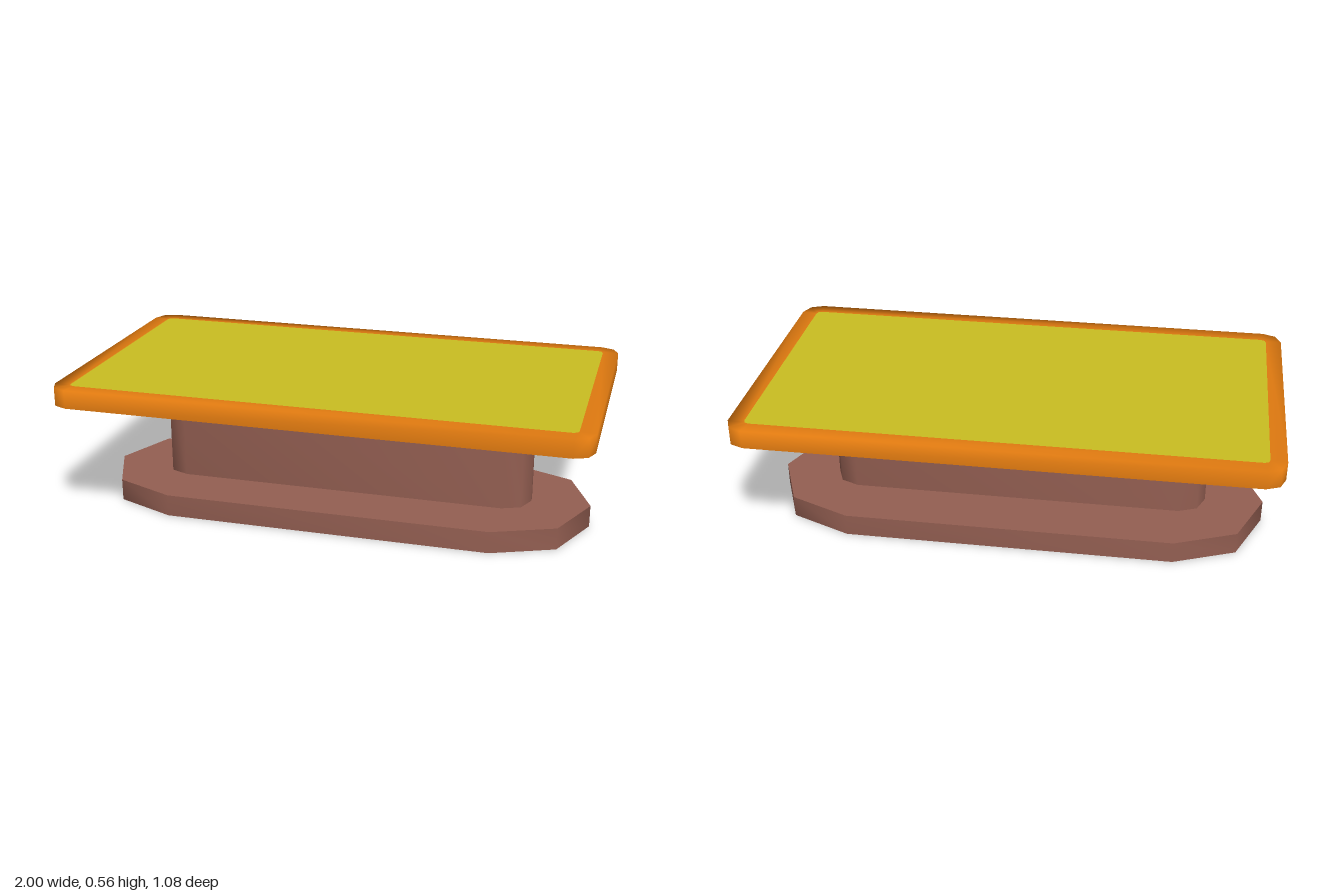
import * as THREE from 'three';
import { toCreasedNormals } from 'three/addons/utils/BufferGeometryUtils.js';

const FOOT_TOP = 0.085, TOP_LOW = 0.485, TOP_HIGH = 0.555;

// Rounded rectangle in plan, with few segments per corner
function outline(hx, hz, r, segments = 2) {
  const points = [];
  [[1, 1], [-1, 1], [-1, -1], [1, -1]].forEach(([sx, sz], q) => {
    for (let i = 0; i <= segments; i++) {
      const a = (q + i / segments) * Math.PI / 2;
      points.push(new THREE.Vector2(sx * (hx - r) + r * Math.cos(a), sz * (hz - r) + r * Math.sin(a)));
    }
  });
  return points;
}

// Upright block with smooth corners and sharp caps
function block(points, y0, y1) {
  const geometry = new THREE.ExtrudeGeometry(new THREE.Shape(points), { depth: y1 - y0, bevelEnabled: false });
  geometry.rotateX(-Math.PI / 2).translate(0, y0, 0);
  return toCreasedNormals(geometry, 0.9);
}

// Smooth skin joining loops of equal point count
function skin(loops) {
  const n = loops[0].points.length, positions = [], index = [];
  for (const { points, y } of loops) for (const p of points) positions.push(p.x, y, p.y);
  for (let k = 0; k < loops.length - 1; k++) {
    for (let i = 0; i < n; i++) {
      const j = (i + 1) % n, a = k * n, b = a + n;
      index.push(a + i, b + i, a + j, a + j, b + i, b + j);
    }
  }
  const geometry = new THREE.BufferGeometry();
  geometry.setAttribute('position', new THREE.Float32BufferAttribute(positions, 3));
  geometry.setIndex(index);
  geometry.computeVertexNormals();
  return geometry;
}

// Flat panel facing up (side = 1) or down (side = -1)
function panel(points, y, side) {
  return new THREE.ShapeGeometry(new THREE.Shape(points)).rotateX(-side * Math.PI / 2).translate(0, y, 0);
}

export function createModel() {
  const material = (name, color) => {
    const m = new THREE.MeshStandardMaterial({ color });
    m.name = name;
    return m;
  };
  const brown = material('brown', 0x945f52);
  const orange = material('orange', 0xe07a10);
  const yellow = material('yellow', 0xcbbf22);

  const model = new THREE.Group();
  model.name = 'table';
  const add = (name, geometry, mat) => {
    const mesh = new THREE.Mesh(geometry, mat);
    mesh.name = name;
    model.add(mesh);
  };

  // Pedestal
  add('foot', block(outline(0.965, 0.335, 0.334), 0, FOOT_TOP), brown);
  add('column', block(outline(0.74, 0.113, 0.1), FOOT_TOP, TOP_LOW), brown);

  // Tabletop: rim wraps from the side onto the top, panels close both faces
  const outer = outline(1, 0.54, 0.07), inner = outline(0.94, 0.482, 0.02);
  add('tabletopRim', skin([
    { points: outer, y: TOP_LOW },
    { points: outer, y: TOP_HIGH },
    { points: inner, y: TOP_HIGH },
  ]), orange);
  add('tabletopSurface', panel(inner, TOP_HIGH, 1), yellow);
  add('tabletopUnderside', panel(outer, TOP_LOW, -1), yellow);

  return model;
}
